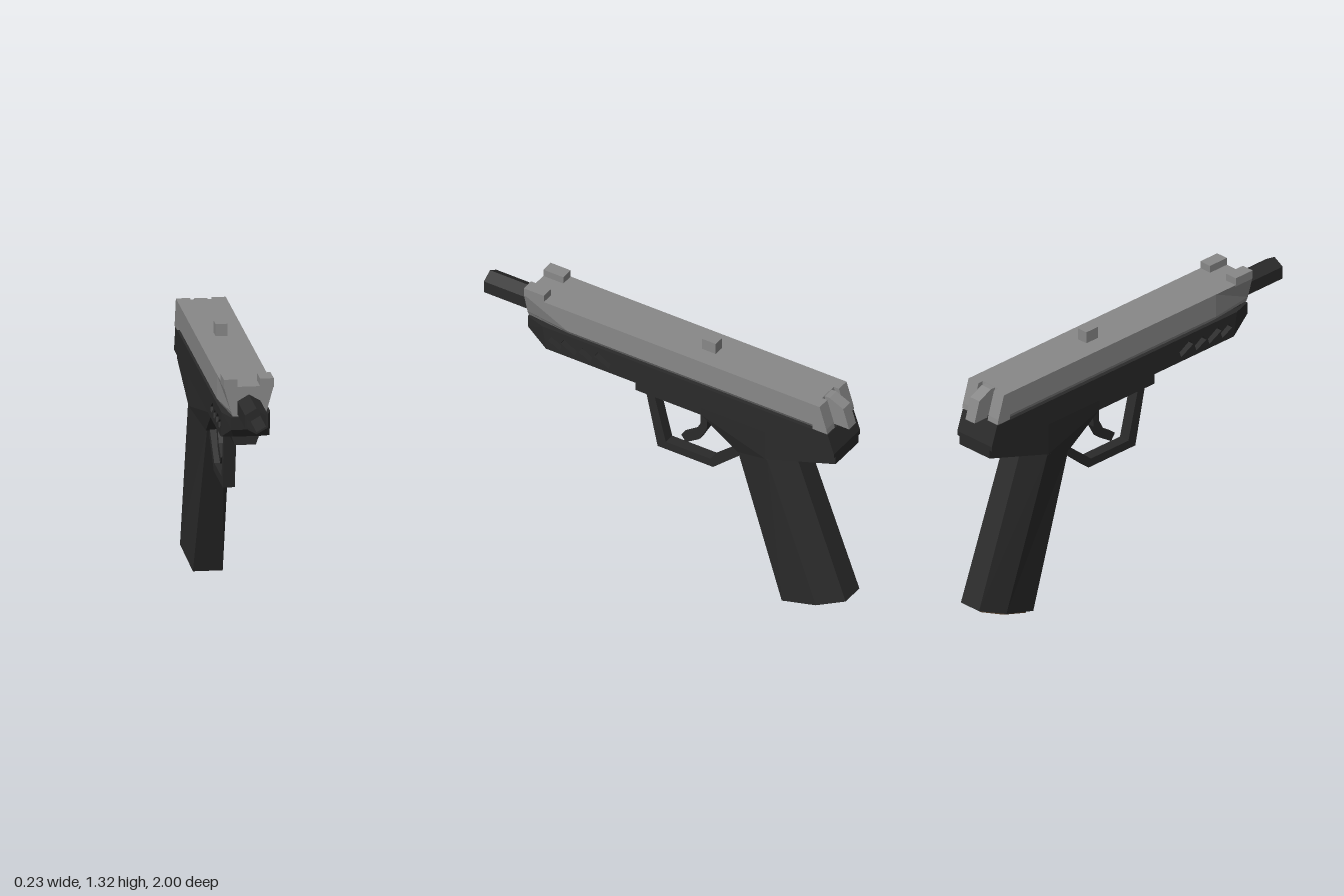
import * as THREE from 'three';
import { ConvexGeometry } from 'three/addons/geometries/ConvexGeometry.js';

const mat = (color) => new THREE.MeshStandardMaterial({ color, flatShading: true });
const steel = mat(0x888888), polymer = mat(0x2a2a2a), bronze = mat(0x5a4632);

function add(group, name, geometry, material) {
  const mesh = new THREE.Mesh(geometry, material);
  mesh.name = name;
  group.add(mesh);
  return mesh;
}

function box(x, y0, y1, z0, z1, w) {
  return new THREE.BoxGeometry(w, y1 - y0, z1 - z0).translate(x, (y0 + y1) / 2, (z0 + z1) / 2);
}

// Side profile of [z, y] points, extruded to width w around x
function profile(points, w, x = 0, holes = []) {
  const v = (list) => list.map(([z, y]) => new THREE.Vector2(z, y));
  const shape = new THREE.Shape(v(points));
  for (const h of holes) shape.holes.push(new THREE.Path(v(h)));
  return new THREE.ExtrudeGeometry(shape, { depth: w, bevelEnabled: false })
    .rotateY(-Math.PI / 2).translate(x + w / 2, 0, 0);
}

// Skin over matching loops of [x, y, z] points, closed at both ends
function loft(loops) {
  const pos = [], n = loops[0].length;
  const tri = (a, b, c) => pos.push(...a, ...b, ...c);
  for (let s = 0; s < loops.length - 1; s++) {
    const a = loops[s], b = loops[s + 1];
    for (let i = 0; i < n; i++) {
      const j = (i + 1) % n;
      tri(a[i], a[j], b[j]);
      tri(a[i], b[j], b[i]);
    }
  }
  const first = loops[0], last = loops[loops.length - 1];
  for (let i = 1; i < n - 1; i++) {
    tri(first[0], first[i + 1], first[i]);
    tri(last[0], last[i], last[i + 1]);
  }
  const g = new THREE.BufferGeometry();
  g.setAttribute('position', new THREE.Float32BufferAttribute(pos, 3));
  g.computeVertexNormals();
  return g;
}

// Slide cross-section: half widths at the bottom, chamfer and top; lean tilts the end
const slideLoop = (z, bottom, mid, top, lean = 0) => [
  [-bottom, 1.115, z - lean], [bottom, 1.115, z - lean], [mid, 1.14, z - lean * 0.85],
  [top, 1.257, z], [-top, 1.257, z], [-mid, 1.14, z - lean * 0.85],
];

// Six-sided grip section running from a front point to a back point
function gripLoop([zf, yf], [zb, yb], front, mid, back) {
  const zm = THREE.MathUtils.lerp(zf, zb, 0.6), ym = THREE.MathUtils.lerp(yf, yb, 0.6);
  return [[-front, yf, zf], [front, yf, zf], [mid, ym, zm],
    [back, yb, zb], [-back, yb, zb], [-mid, ym, zm]];
}

export function createModel() {
  const model = new THREE.Group();
  model.name = 'pistol';

  // Slide, narrowed below at the muzzle
  add(model, 'slide', loft([
    slideLoop(-0.86, 0.1, 0.117, 0.117, 0.03),
    slideLoop(0.5, 0.1, 0.117, 0.117),
    slideLoop(0.74, 0.075, 0.085, 0.117),
  ]), steel);

  // Paired front sights and rear slide lobes
  for (const s of [-1, 1]) {
    add(model, 'frontSight', box(s * 0.085, 1.25, 1.293, 0.63, 0.74, 0.064), steel);
    add(model, 'slideRearLobe', profile(
      [[-0.85, 1.115], [-0.93, 1.115], [-0.925, 1.14], [-0.888, 1.257], [-0.85, 1.257]],
      0.066, s * 0.084), steel);
  }
  add(model, 'centreSight', box(0, 1.25, 1.315, -0.26, -0.185, 0.056), steel);
  add(model, 'hammer', profile(
    [[-0.85, 1.115], [-0.995, 1.115], [-0.963, 1.22], [-0.888, 1.255], [-0.85, 1.255]], 0.06), steel);

  // Hexagonal barrel with an open bore
  const hex = (r) => Array.from({ length: 6 }, (_, i) => {
    const a = Math.PI / 2 + i * Math.PI / 3;
    return new THREE.Vector2(r * Math.cos(a), r * Math.sin(a));
  });
  const ring = new THREE.Shape(hex(0.062));
  ring.holes.push(new THREE.Path(hex(0.052)));
  add(model, 'barrel', new THREE.ExtrudeGeometry(ring, { depth: 0.3, bevelEnabled: false })
    .translate(0, 1.157, 0.7), polymer);
  add(model, 'boreEnd', new THREE.ShapeGeometry(new THREE.Shape(hex(0.055)))
    .translate(0, 1.157, 0.8), polymer);

  // Frame with slanted slots cut right through, narrowed at the front
  const slots = [[0.61, 1.06, 0.065], [0.54, 1.07, 0.08], [0.44, 1.06, 0.065], [0.355, 1.07, 0.08]]
    .map(([z, y, len]) => [
      [z, y - 0.02], [z - len, y - 0.02 - len * 0.5 + 0.0],
      [z - len - 0.01, y + 0.01 - len * 0.5], [z - 0.02, y + 0.01],
    ].map(([a, b]) => [a, Math.max(b, 1.008)]));
  const frame = profile([
    [0.64, 1.11], [0.74, 1.11], [0.74, 1.05], [0.71, 1.01], [0.62, 0.988],
    [-0.965, 0.988], [-0.965, 1.01], [-0.93, 1.11],
  ].reverse(), 0.228, 0, slots);
  const p = frame.attributes.position;
  for (let i = 0; i < p.count; i++) {
    if (p.getZ(i) > 0.7) p.setX(i, p.getX(i) * (p.getY(i) < 1.03 ? 0.6 : 0.72));
  }
  add(model, 'frame', frame, polymer);
  add(model, 'slideRail', box(0, 1.1, 1.125, -0.91, 0.7, 0.16), polymer);

  // Lower rail and trigger housing
  const rail = new THREE.Shape([[-0.05, 0.945], [0.05, 0.945], [0.066, 0.992], [-0.066, 0.992]]
    .map(([x, y]) => new THREE.Vector2(x, y)));
  add(model, 'lowerRail', new THREE.ExtrudeGeometry(rail, { depth: 0.92, bevelEnabled: false })
    .translate(0, 0, -0.3), polymer);
  add(model, 'triggerHousing', box(0, 0.885, 0.99, -0.22, 0.17, 0.09), polymer);

  // Rear body that widens from the trigger to the grip
  const body = [
    [0.045, 0.99, -0.19], [0.045, 0.885, -0.19], [0.045, 0.75, -0.39], [0.1, 0.99, -0.58],
    [0.1, 0.82, -0.58], [0.09, 0.87, -0.72], [0.1, 0.945, -0.965], [0.1, 0.99, -0.965],
  ];
  add(model, 'rearBody', new ConvexGeometry(body.flatMap(([x, y, z]) =>
    [new THREE.Vector3(x, y, z), new THREE.Vector3(-x, y, z)])), polymer);

  // Trigger guard and curved trigger
  add(model, 'triggerGuard', profile([
    [0.125, 0.89], [0.06, 0.593], [-0.245, 0.593], [-0.41, 0.735], [-0.385, 0.762],
    [-0.23, 0.635], [0.015, 0.635], [0.08, 0.89],
  ], 0.056), polymer);
  add(model, 'trigger', profile([
    [-0.17, 0.89], [-0.17, 0.81], [-0.14, 0.755], [-0.065, 0.705],
    [-0.09, 0.67], [-0.165, 0.718], [-0.205, 0.79], [-0.212, 0.89],
  ], 0.04), polymer);

  // Raked grip and the magazine plate under it
  add(model, 'grip', loft([
    gripLoop([-0.65, 0.005], [-0.995, 0.132], 0.07, 0.102, 0.06),
    gripLoop([-0.39, 0.75], [-0.72, 0.87], 0.04, 0.102, 0.055),
  ]), polymer);
  add(model, 'magazinePlate', loft([
    gripLoop([-0.68, 0.0], [-0.968, 0.111], 0.052, 0.08, 0.045),
    gripLoop([-0.67, 0.04], [-0.955, 0.15], 0.052, 0.08, 0.045),
  ]), bronze);

  return model;
}
